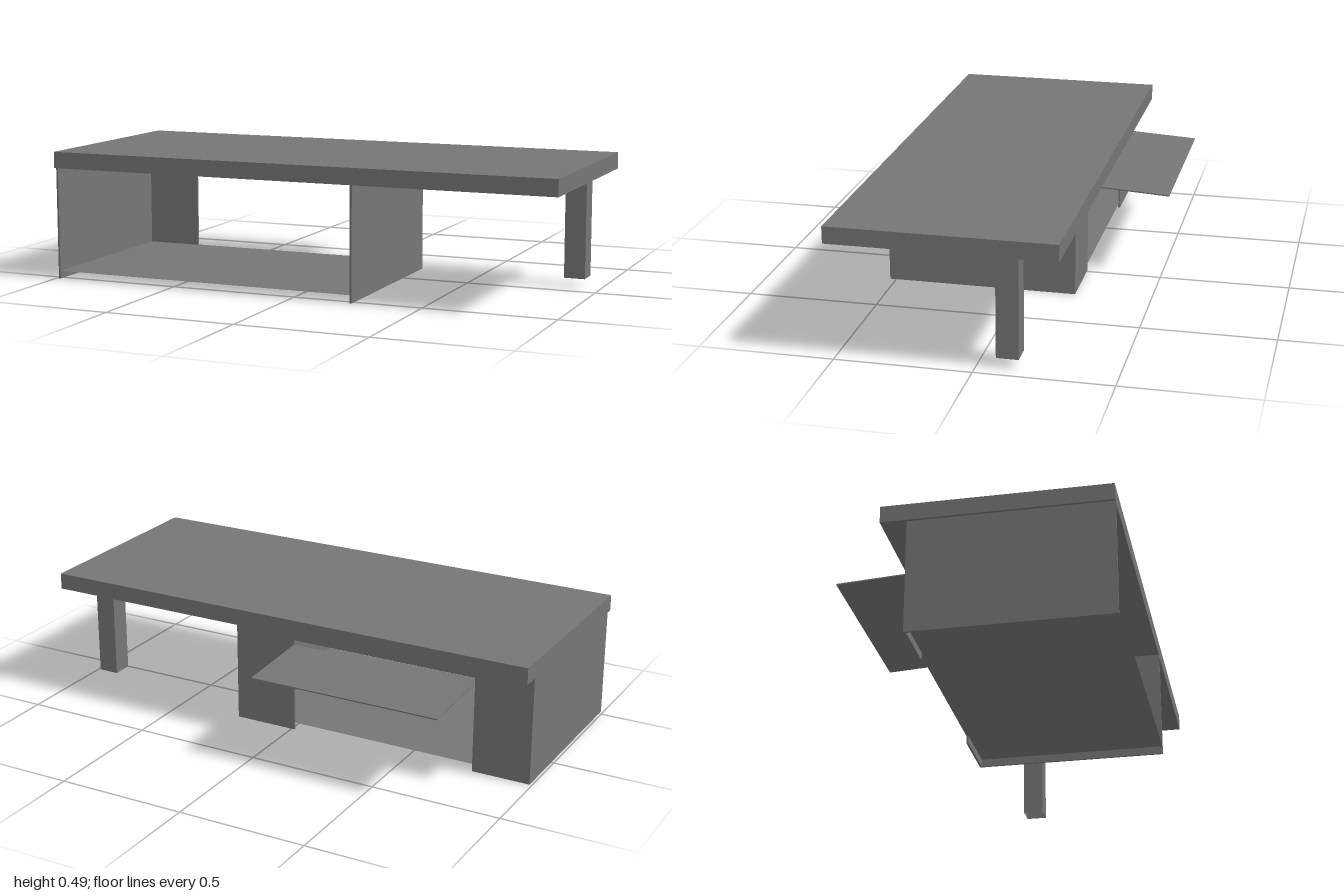
import * as THREE from 'three';

const material = new THREE.MeshStandardMaterial({ color: 0x767676, flatShading: true });
const openMaterial = new THREE.MeshStandardMaterial({ color: 0x767676, flatShading: true, side: THREE.DoubleSide });

// Box given by its [min, max] extents on each axis
function slab(name, [x0, x1], [y0, y1], [z0, z1]) {
  const mesh = new THREE.Mesh(new THREE.BoxGeometry(x1 - x0, y1 - y0, z1 - z0), material);
  mesh.name = name;
  mesh.position.set((x0 + x1) / 2, (y0 + y1) / 2, (z0 + z1) / 2);
  return mesh;
}

export function createModel() {
  const model = new THREE.Group();
  model.name = 'table';

  // Table top
  const under = 0.43;
  model.add(slab('tableTop', [-1, 1], [under, 0.493], [-0.303, 0.523]));

  // Single free-standing leg, a square tube open at the foot
  const legBottom = 0.035, legHeight = under - legBottom;
  const legGeometry = new THREE.CylinderGeometry(0.0573, 0.0573, legHeight, 4, 1, true).rotateY(Math.PI / 4);
  const leg = new THREE.Mesh(legGeometry, openMaterial);
  leg.name = 'leg';
  leg.position.set(0.901, legBottom + legHeight / 2, -0.11);
  model.add(leg);

  // Cabinet under one end, open at the front
  const cabinet = new THREE.Group();
  cabinet.name = 'cabinet';
  const left = -0.99, right = 0.239, wall = 0.008, back = -0.209, front = 0.5245;
  const openLeft = -0.762, openRight = -0.013, openTop = 0.372;
  for (const [name, x] of [['rightSide', left], ['leftSide', right - wall]]) {
    cabinet.add(slab(name, [x, x + wall], [0, 0.45], [back, front]));
  }

  // Thin bottom sheet raised above the lower edges of the walls
  const bottom = new THREE.Mesh(new THREE.PlaneGeometry(right - left - 2 * wall, front - back).rotateX(-Math.PI / 2), openMaterial);
  bottom.name = 'bottomPanel';
  bottom.position.set((left + right) / 2, 0.03, (front + back) / 2);
  cabinet.add(bottom);

  // Back wall around the flap opening
  const backDepth = [back, back + wall];
  cabinet.add(slab('backRight', [left + wall, openLeft], [0, under], backDepth));
  cabinet.add(slab('backLeft', [openRight, right - wall], [0, under], backDepth));
  cabinet.add(slab('backTopRail', [openLeft, openRight], [openTop, under], backDepth));
  model.add(cabinet);

  // Flap hinged at the opening, sloping down towards the back
  const run = 0.316, drop = 0.018;
  const flap = slab('flap', [openLeft, openRight], [-0.0025, 0.0025], [-Math.hypot(run, drop), 0]);
  const hinge = new THREE.Group();
  hinge.name = 'flapHinge';
  hinge.position.set(0, 0.352, back);
  hinge.rotation.x = -Math.atan2(drop, run);
  hinge.add(flap);
  model.add(hinge);

  return model;
}
